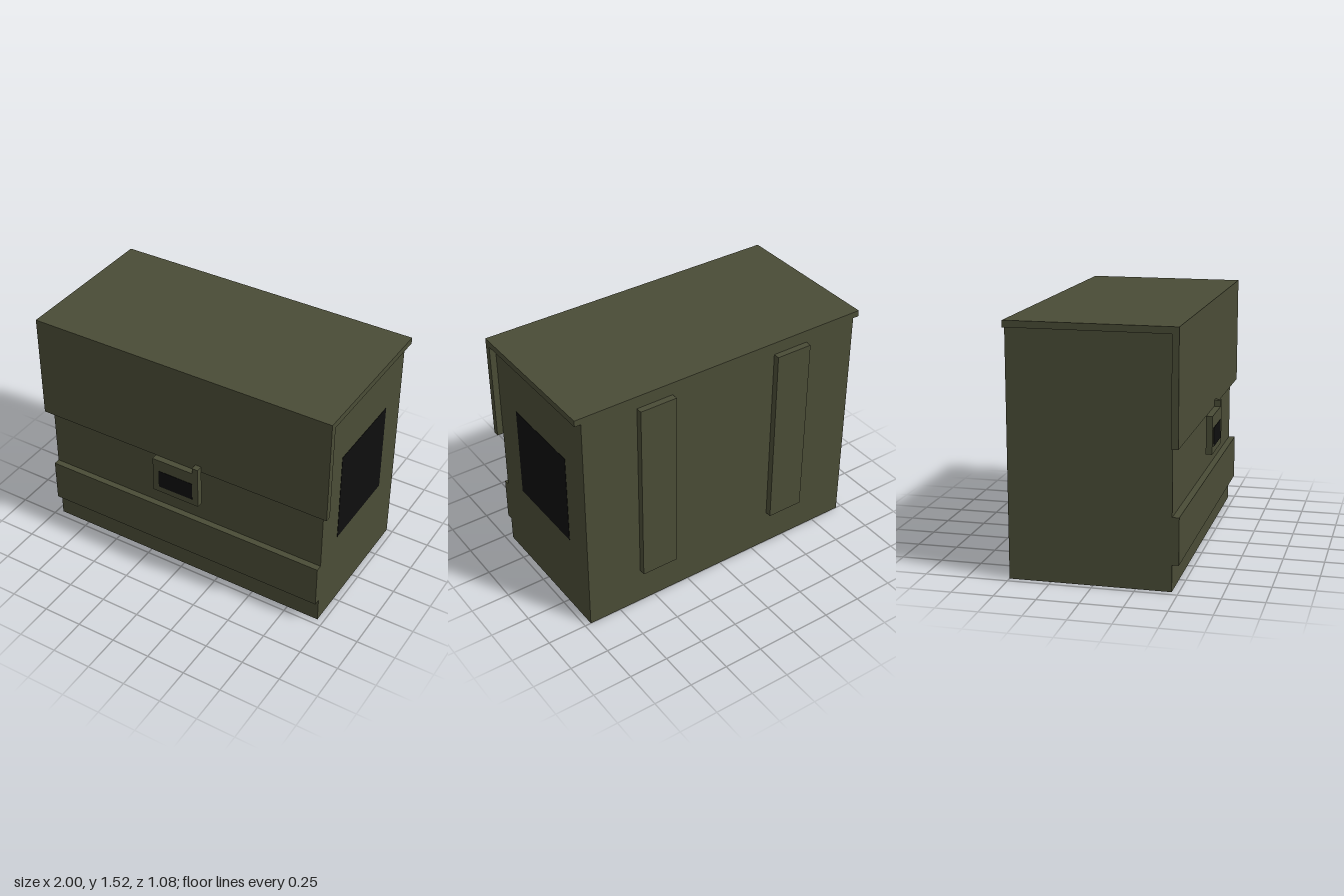
import * as THREE from 'three';

export function createModel() {
  const model = new THREE.Group();
  model.name = 'crate';

  const olive = new THREE.MeshStandardMaterial({ color: 0x4a4c36 });
  olive.name = 'olive paint';
  const black = new THREE.MeshStandardMaterial({ color: 0x0e0e0e });
  black.name = 'black panel';

  const add = (name, geometry, material) => {
    const mesh = new THREE.Mesh(geometry, material);
    mesh.name = name;
    model.add(mesh);
    return mesh;
  };
  // Box given by its extents on each axis
  const box = (name, [x0, x1], [y0, y1], [z0, z1], material = olive) =>
    add(name, new THREE.BoxGeometry(x1 - x0, y1 - y0, z1 - z0), material)
      .position.set((x0 + x1) / 2, (y0 + y1) / 2, (z0 + z1) / 2);

  // Main case with a raised band low on the front
  box('body', [-0.96, 0.96], [0, 1.48], [-0.5, 0.46]);
  box('frontBand', [-0.96, 0.96], [0.16, 0.44], [0.46, 0.5]);

  // Lid: top and front flap cut as one angled profile, run along x
  const lidProfile = new THREE.Shape([
    [0.5, 1.48], [0.5, 1.52], [-0.5, 1.52], [-0.5, 0.84], [-0.46, 0.84], [-0.46, 1.48],
  ].map(([a, b]) => new THREE.Vector2(a, b)));
  const lid = new THREE.ExtrudeGeometry(lidProfile, { depth: 2, bevelEnabled: false });
  lid.translate(0, 0, -1).rotateY(Math.PI / 2);
  add('lid', lid, olive);

  // Latch plate with a small raised tab at its left end
  const latchShape = new THREE.Shape([
    [-0.16, 0.6], [0.16, 0.6], [0.16, 0.88], [0.12, 0.88], [0.12, 0.84], [-0.16, 0.84],
  ].map(([x, y]) => new THREE.Vector2(x, y)));
  const latch = new THREE.ExtrudeGeometry(latchShape, { depth: 0.04, bevelEnabled: false });
  add('latch', latch.translate(0, 0, 0.5), olive);
  box('latchWindow', [-0.12, 0.12], [0.64, 0.76], [0.538, 0.542], black);

  // Dark panel on the left side
  box('sidePanel', [0.958, 0.962], [0.52, 1.12], [-0.3, 0.26], black);

  // Pair of upright straps on the back
  for (const side of [-1, 1]) {
    const c = side * 0.48;
    box(side > 0 ? 'leftBackStrap' : 'rightBackStrap', [c - 0.12, c + 0.12], [0.24, 1.44], [-0.54, -0.5]);
  }
  return model;
}
